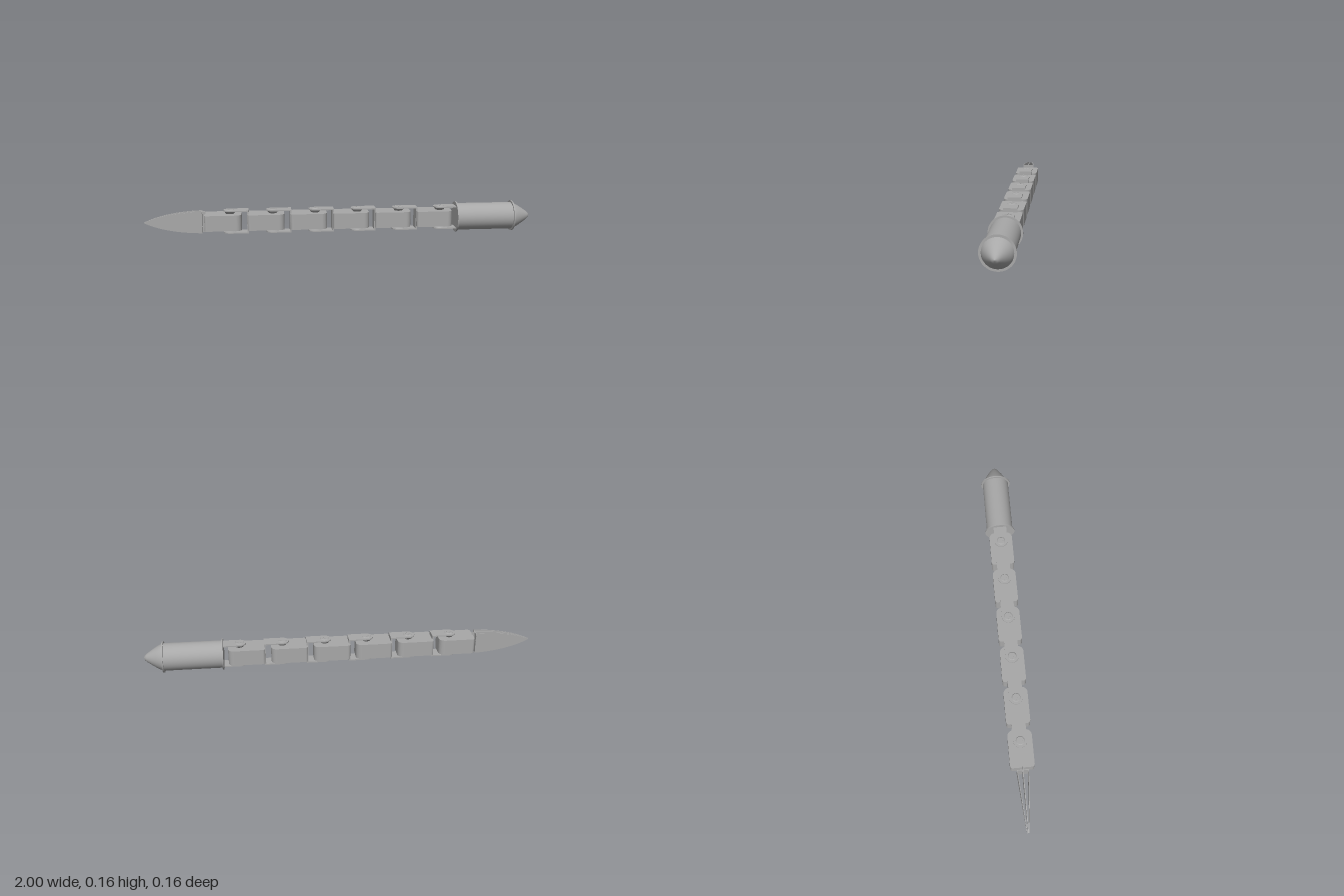
import * as THREE from 'three';

const AXIS = 0.08, PITCH = 0.217, LINKS = 6, FIRST = -0.695;

export function createModel() {
  const model = new THREE.Group();
  const steel = new THREE.MeshStandardMaterial({ color: 0xa8a8a8 });
  steel.name = 'grey steel';

  const add = (name, geometry, parent, x = 0, y = 0, z = 0) => {
    const mesh = new THREE.Mesh(geometry, steel);
    mesh.name = name;
    mesh.position.set(x, y, z);
    parent.add(mesh);
    return mesh;
  };

  // Flat outline laid horizontally and raised to a height centred on y = 0
  const slab = (shape, height) =>
    new THREE.ExtrudeGeometry(shape, { depth: height, bevelEnabled: false, curveSegments: 10 })
      .rotateX(-Math.PI / 2).translate(0, -height / 2, 0);

  // Plan of a link: large rounded corners at +x, small ones at -x
  const linkPlan = new THREE.Shape();
  const w = 0.06, len = 0.186, r = 0.03, s = 0.014;
  linkPlan.moveTo(s, -w);
  linkPlan.lineTo(len - r, -w);
  linkPlan.absarc(len - r, -w + r, r, -Math.PI / 2, 0, false);
  linkPlan.lineTo(len, w - r);
  linkPlan.absarc(len - r, w - r, r, 0, Math.PI / 2, false);
  linkPlan.lineTo(s, w);
  linkPlan.absarc(s, w - s, s, Math.PI / 2, Math.PI, false);
  linkPlan.lineTo(0, -w + s);
  linkPlan.absarc(s, -w + s, s, Math.PI, Math.PI * 1.5, false);
  const linkGeo = slab(linkPlan, 0.08);

  // Fork arm: tab with a round end about the pivot
  const armPlan = new THREE.Shape();
  armPlan.moveTo(0.092, -0.034);
  armPlan.lineTo(0.092, 0.034);
  armPlan.lineTo(0, 0.034);
  armPlan.absarc(0, 0, 0.034, Math.PI / 2, Math.PI * 1.5, false);
  const armGeo = slab(armPlan, 0.006);
  const wallGeo = new THREE.BoxGeometry(0.008, 0.118, 0.068);
  const spacerGeo = new THREE.CylinderGeometry(0.032, 0.02, 0.015, 24);
  const headGeo = new THREE.CylinderGeometry(0.019, 0.022, 0.003, 24);
  const slotGeo = new THREE.BoxGeometry(0.026, 0.002, 0.006);

  for (let i = 0; i < LINKS; i++) {
    const x = FIRST + i * PITCH;
    add('link', linkGeo, model, x, AXIS);

    // Fork of the following part, pinned above and below this link
    const fork = new THREE.Group();
    fork.name = 'forkJoint';
    fork.position.set(x + 0.128, AXIS, 0);
    model.add(fork);
    add('forkWall', wallGeo, fork, 0.09);
    for (const side of [1, -1]) {
      const half = new THREE.Group();
      half.name = side > 0 ? 'upperFork' : 'lowerFork';
      half.rotation.x = side > 0 ? 0 : Math.PI;
      fork.add(half);
      add('forkArm', armGeo, half, 0, 0.056);
      add('pinSpacer', spacerGeo, half, 0, 0.0465);
      add('screwHead', headGeo, half, 0, 0.0605);
      add('screwCross', slotGeo, half, 0, 0.0625);
      add('screwCross', slotGeo, half, 0, 0.0625).rotation.y = Math.PI / 2;
    }
  }

  // Blade: centre plate and two outer plates converging on the tip
  const bladePlate = (end, thick) => {
    const shape = new THREE.Shape();
    shape.moveTo(-1, 0);
    shape.bezierCurveTo(-0.93, -0.034, -0.83, -0.053, end, -0.054);
    shape.lineTo(end, 0.054);
    shape.bezierCurveTo(-0.83, 0.053, -0.93, 0.034, -1, 0);
    return new THREE.ExtrudeGeometry(shape, { depth: thick, bevelEnabled: false, curveSegments: 16 })
      .translate(0, 0, -thick / 2);
  };
  add('bladeCore', bladePlate(-0.69, 0.004), model, 0, AXIS);
  for (const side of [1, -1]) {
    const geo = bladePlate(-0.708, 0.003);
    const p = geo.attributes.position;
    for (let i = 0; i < p.count; i++) {
      const t = (p.getX(i) + 1) / 0.292;
      p.setZ(i, p.getZ(i) + side * (0.006 + 0.022 * t));
    }
    geo.computeVertexNormals();
    add(side > 0 ? 'bladeFrontPlate' : 'bladeBackPlate', geo, model, 0, AXIS);
  }
  add('bladeBase', new THREE.BoxGeometry(0.004, 0.106, 0.058), model, -0.709, AXIS);

  // Handle: cylinder, two rims and a pointed pommel along +x
  const round = (name, geometry, x) => {
    add(name, geometry, model, x, AXIS).rotation.z = -Math.PI / 2;
  };
  round('handleGrip', new THREE.CylinderGeometry(0.07, 0.07, 0.3, 48), 0.754);
  for (const x of [0.604, 0.902]) {
    round('handleRim', new THREE.CylinderGeometry(0.079, 0.079, 0.007, 48), x);
  }
  const pommel = [[0.07, 0], [0.066, 0.012], [0.057, 0.03], [0.04, 0.057], [0.022, 0.083], [0.012, 0.094], [0, 0.1]];
  round('pommel', new THREE.LatheGeometry(pommel.map(([a, b]) => new THREE.Vector2(a, b)), 48), 0.9);

  return model;
}
